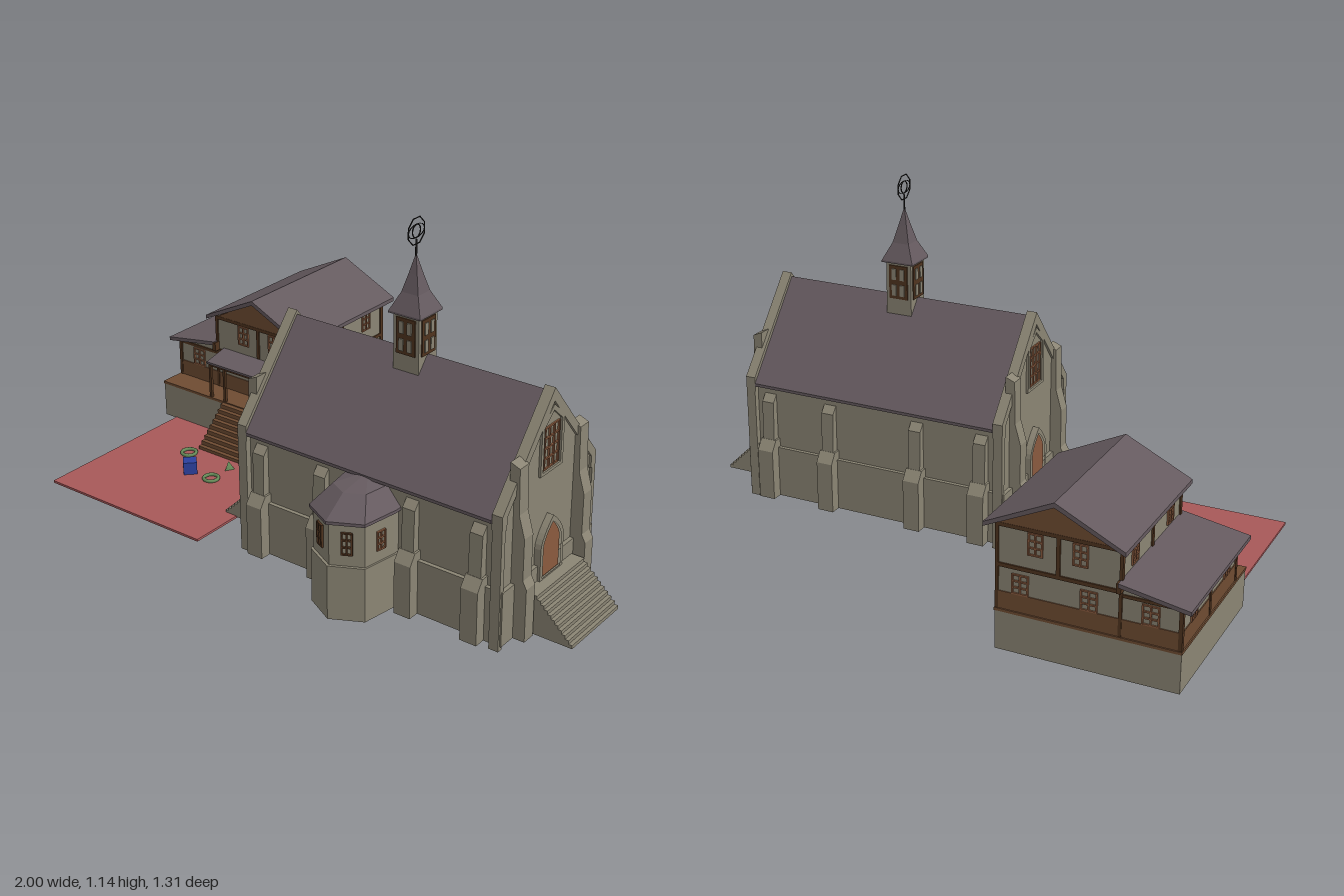
import * as THREE from 'three';

const mat = (name, color) => Object.assign(new THREE.MeshStandardMaterial({ color }), { name });
const M = {
  stone: mat('stone', 0x8b8574), roof: mat('slate', 0x655a5f), board: mat('boards', 0x6f4c32),
  timber: mat('darkTimber', 0x50341f), door: mat('doorWood', 0x8a5a3e), carpet: mat('redPaving', 0xa85859),
  blue: mat('blue', 0x2b409e), green: mat('green', 0x668a58), iron: mat('iron', 0x1d1c1c),
};

function add(parent, name, geo, material) {
  const m = new THREE.Mesh(geo, material);
  m.name = name;
  parent.add(m);
  return m;
}
function group(parent, name) {
  const g = new THREE.Group();
  g.name = name;
  parent.add(g);
  return g;
}
function box(p, name, m, x0, x1, y0, y1, z0, z1) {
  const b = add(p, name, new THREE.BoxGeometry(Math.abs(x1 - x0), y1 - y0, z1 - z0), m);
  b.position.set((x0 + x1) / 2, (y0 + y1) / 2, (z0 + z1) / 2);
  return b;
}
// Prisms: a flat outline pulled along one axis
function extrude(pts, depth, hole) {
  const toVec = a => a.map(q => new THREE.Vector2(q[0], q[1]));
  const s = new THREE.Shape(toVec(pts));
  if (hole) s.holes.push(new THREE.Path(toVec(hole)));
  return new THREE.ExtrudeGeometry(s, { depth, bevelEnabled: false });
}
const prismZ = (p, name, m, xy, z0, z1) => add(p, name, extrude(xy, z1 - z0).translate(0, 0, z0), m);
function prismX(p, name, m, zy, xa, xb, hole) {
  const flip = a => a && a.map(([z, y]) => [-z, y]);
  const g = extrude(flip(zy), Math.abs(xb - xa), flip(hole));
  return add(p, name, g.rotateY(Math.PI / 2).translate(Math.min(xa, xb), 0, 0), m);
}
const prismY = (p, name, m, xz, y0, y1) =>
  add(p, name, extrude(xz.map(([x, z]) => [x, -z]), y1 - y0).rotateX(-Math.PI / 2).translate(0, y0, 0), m);

// Window: lattice of bars, facing +z before turning
function lattice(p, m, x, y, z, turn, w, h, cols, rows, t = 0.005) {
  const g = group(p, 'window');
  g.position.set(x, y, z);
  g.rotation.y = turn;
  for (let i = 0; i <= cols; i++) {
    const u = -w / 2 + (w * i) / cols;
    box(g, 'windowBar', m, u - t / 2, u + t / 2, -h / 2, h / 2, -0.002, 0.006);
  }
  for (let j = 0; j <= rows; j++) {
    const v = -h / 2 + (h * j) / rows;
    box(g, 'windowBar', m, -w / 2 - t / 2, w / 2 + t / 2, v - t / 2, v + t / 2, -0.002, 0.005);
  }
}

const CX = 0.343, CZ = 0.22, G = 0.015;

// Pointed arch outline in z, y
function arch(w, y0, spring, top) {
  const right = [[w, y0]];
  for (let i = 0; i < 6; i++) {
    const t = i / 6;
    right.push([w * (1 - t ** 1.7), spring + (top - spring) * t]);
  }
  const left = right.map(([z, y]) => [-z, y]).reverse();
  return [...right, [0, top], ...left].map(([z, y]) => [z + CZ, y]);
}

function buildChurch(root) {
  const c = group(root, 'church');
  box(c, 'naveWalls', M.stone, -0.12, 0.8, G, 0.425, -0.015, 0.455);
  box(c, 'navePlinth', M.stone, -0.145, 0.831, G, 0.195, -0.028, 0.468);
  prismX(c, 'naveRoof', M.roof, [[-0.037, 0.41], [-0.037, 0.42], [CZ, 0.728], [0.477, 0.42], [0.477, 0.41]], -0.105, 0.79);

  // Side buttresses, stepped
  for (const x of [-0.058, 0.178, 0.508, 0.742])
    for (const s of [-1, 1]) {
      const at = a => a.map(([d, y]) => [CZ + s * d, y]);
      prismX(c, 'buttressBase', M.stone, at([[0.22, G], [0.286, G], [0.286, 0.19], [0.262, 0.225], [0.22, 0.225]]), x - 0.029, x + 0.029);
      prismX(c, 'buttressTop', M.stone, at([[0.22, 0.2], [0.262, 0.2], [0.256, 0.36], [0.235, 0.385], [0.22, 0.385]]), x - 0.022, x + 0.022);
    }

  // Both gable ends
  for (const s of [-1, 1]) {
    const e = group(c, 'gableEnd');
    const X = d => CX + s * d;
    const gable = [[-0.035, G], [-0.035, 0.44], [CZ, 0.74], [0.475, 0.44], [0.475, G]];
    prismX(e, 'gableWall', M.stone, gable, X(0.45), X(0.475));
    prismX(e, 'gableCoping', M.stone,
      [[-0.035, 0.39], [-0.035, 0.44], [CZ, 0.742], [0.475, 0.44], [0.475, 0.39], [0.45, 0.39], [0.45, 0.43], [CZ, 0.7], [-0.01, 0.43], [-0.01, 0.39]], X(0.448), X(0.483));
    for (const z of [-0.035, 0.457]) box(e, 'cornerFoot', M.stone, X(0.45), X(0.483), 0, 0.39, z, z + 0.018);
    for (const z of [0.035, 0.361])
      prismZ(e, 'gableButtress', M.stone,
        [[0.46, G], [0.528, G], [0.528, 0.19], [0.515, 0.215], [0.515, 0.35], [0.495, 0.42], [0.492, 0.565], [0.46, 0.578]].map(([d, y]) => [X(d), y]), z, z + 0.046);
    // Door and its surround
    prismX(e, 'doorSurround', M.stone, arch(0.063, 0.145, 0.25, 0.34), X(0.47), X(0.497), arch(0.049, 0.15, 0.25, 0.32));
    prismX(e, 'door', M.door, arch(0.049, 0.15, 0.25, 0.32), X(0.483), X(0.491));
    // Gable window
    prismX(e, 'windowSurround', M.stone, [[0.16, 0.48], [0.16, 0.64], [CZ, 0.69], [0.28, 0.64], [0.28, 0.48]], X(0.47), X(0.483),
      [[0.172, 0.49], [0.172, 0.63], [CZ, 0.672], [0.268, 0.63], [0.268, 0.49]]);
    lattice(e, M.door, X(0.475), 0.56, CZ, s * Math.PI / 2, 0.075, 0.13, 3, 4, 0.005);
    // Stone stairs
    const n = 11;
    for (let i = 0; i < n; i++)
      box(e, 'stoneStep', M.stone, X(0.475), X(0.655 - (0.135 * i) / n), G + (0.13 * i) / n, G + (0.13 * (i + 1)) / n, 0.088, 0.353);
  }

  // Apse
  const plan = [[0.225, 0.44], [0.225, 0.475], [0.245, 0.595], [CX, 0.645], [0.441, 0.595], [0.461, 0.475], [0.461, 0.44]];
  const scaled = (k, a = plan) => a.map(([x, z]) => [CX + (x - CX) * k, 0.45 + (z - 0.45) * k]);
  prismY(c, 'apsePlinth', M.stone, scaled(1.02), G, 0.195);
  prismY(c, 'apseWalls', M.stone, scaled(0.97), 0.19, 0.342);
  prismY(c, 'apseEaves', M.roof, scaled(1.04), 0.334, 0.344);
  const rings = [[1.04, 0.344], [0.62, 0.402], [0.001, 0.42]].map(([k, y]) => scaled(k).map(([x, z]) => [x, y, z]));
  const pos = [];
  for (let r = 0; r < 2; r++)
    for (let i = 0; i < plan.length - 1; i++) {
      const [a, b, d, f] = [rings[r][i], rings[r][i + 1], rings[r + 1][i + 1], rings[r + 1][i]];
      pos.push(...a, ...b, ...d, ...a, ...d, ...f);
    }
  const roofGeo = new THREE.BufferGeometry();
  roofGeo.setAttribute('position', new THREE.Float32BufferAttribute(pos, 3));
  roofGeo.computeVertexNormals();
  add(c, 'apseRoof', roofGeo, M.roof);
  for (const s of [-1, 1]) {
    lattice(c, M.timber, CX + s * 0.048, 0.27, 0.616, s * 0.47, 0.03, 0.07, 2, 3, 0.005);
    lattice(c, M.door, CX + s * 0.106, 0.265, 0.53, s * 1.405, 0.03, 0.06, 2, 3, 0.004);
  }

  // Bell turret, spire and finial
  const t = group(c, 'bellTurret');
  t.position.set(CX, 0, CZ);
  box(t, 'turretBody', M.stone, -0.046, 0.046, 0.665, 0.86, -0.046, 0.046);
  for (let i = 0; i < 4; i++) {
    const f = group(t, 'louvre');
    f.rotation.y = (i * Math.PI) / 2;
    box(f, 'louvreFrame', M.timber, -0.034, 0.034, 0.728, 0.843, 0.044, 0.05);
    for (const x of [-0.015, 0.015])
      for (const y of [0.758, 0.813]) box(f, 'louvrePanel', M.stone, x - 0.008, x + 0.008, y - 0.019, y + 0.019, 0.046, 0.053);
  }
  const prof = [[0, 0.852], [0.057, 0.852], [0.057, 0.858], [0.03, 0.915], [0.015, 0.972], [0.001, 1.03]];
  const spire = new THREE.LatheGeometry(prof.map(([r, y]) => new THREE.Vector2(r * Math.SQRT2, y)), 4, Math.PI / 4).toNonIndexed();
  spire.computeVertexNormals();
  add(t, 'spire', spire, M.roof);
  add(t, 'finialRod', new THREE.CylinderGeometry(0.003, 0.003, 0.07, 6).translate(0, 1.04, 0), M.iron);
  for (const [r, n, squash] of [[0.043, 8, 1], [0.02, 16, 1], [0.04, 16, 0.52]]) {
    const ring = add(t, 'finialRing', new THREE.TorusGeometry(r, 0.002, 5, n).rotateZ(Math.PI / 8), M.iron);
    ring.position.y = 1.1;
    ring.rotation.y = Math.PI / 2;
    ring.scale.y = squash;
  }
}

function buildHouse(root) {
  const h = group(root, 'house');
  box(h, 'foundation', M.stone, -0.97, -0.4, G, 0.142, -0.627, -0.067);
  box(h, 'porchDeck', M.board, -0.972, -0.398, 0.14, 0.149, -0.629, -0.065);

  // Main block and side wing
  box(h, 'mainWalls', M.stone, -0.785, -0.405, 0.145, 0.425, -0.622, -0.158);
  prismZ(h, 'gableBoards', M.board, [[-0.785, 0.42], [-0.595, 0.52], [-0.405, 0.42]], -0.626, -0.154);
  prismZ(h, 'mainRoof', M.roof, [[-0.808, 0.43], [-0.593, 0.535], [-0.374, 0.43], [-0.374, 0.416], [-0.593, 0.519], [-0.808, 0.416]], -0.657, -0.125);
  prismZ(h, 'wingWalls', M.stone, [[-0.965, 0.145], [-0.965, 0.285], [-0.785, 0.316], [-0.785, 0.145]], -0.622, -0.158);
  prismZ(h, 'wingRoof', M.roof, [[-1, 0.292], [-0.785, 0.328], [-0.785, 0.315], [-1, 0.279]], -0.65, -0.135);
  box(h, 'roofBeam', M.timber, -0.792, -0.778, 0.293, 0.325, -0.645, -0.135);

  // Board dado and timber frame
  box(h, 'boardDado', M.board, -0.968, -0.402, 0.147, 0.205, -0.625, -0.155);
  for (const [y0, y1] of [[0.284, 0.296], [0.412, 0.424]]) box(h, 'timberBand', M.timber, -0.789, -0.401, y0, y1, -0.627, -0.153);
  box(h, 'wingBand', M.timber, -0.968, -0.785, 0.274, 0.284, -0.626, -0.154);
  for (const z of [-0.62, -0.39, -0.16]) {
    box(h, 'timberPost', M.timber, -0.41, -0.4, 0.147, 0.424, z - 0.007, z + 0.007);
    box(h, 'timberPost', M.timber, -0.79, -0.78, 0.147, 0.424, z - 0.007, z + 0.007);
    box(h, 'wingPost', M.timber, -0.97, -0.958, 0.147, 0.284, z - 0.007, z + 0.007);
  }
  for (const [z, x] of [[-0.157, -0.595], [-0.624, -0.595]]) box(h, 'middlePost', M.timber, x - 0.006, x + 0.006, 0.29, 0.424, z - 0.003, z + 0.003);

  // Windows on every side
  for (const z of [-0.248, -0.528]) {
    for (const y of [0.235, 0.373]) lattice(h, M.door, -0.405, y, z, Math.PI / 2, 0.042, 0.066, 2, 3);
    lattice(h, M.door, -0.785, 0.373, z, -Math.PI / 2, 0.042, 0.066, 2, 3);
    lattice(h, M.door, -0.965, 0.237, z, -Math.PI / 2, 0.042, 0.06, 2, 3);
  }
  for (const [z, turn] of [[-0.158, 0], [-0.622, Math.PI]]) {
    for (const x of [-0.662, -0.524]) lattice(h, M.door, x, 0.374, z, turn, 0.042, 0.066, 2, 3);
    for (const x of [-0.875, -0.478]) lattice(h, M.door, x, 0.237, z, turn, 0.048, 0.06, 2, 3);
  }
  lattice(h, M.door, -0.69, 0.237, -0.622, Math.PI, 0.048, 0.06, 2, 3);
  box(h, 'doorFrame', M.timber, -0.636, -0.554, 0.149, 0.277, -0.157, -0.149);
  box(h, 'houseDoor', M.board, -0.629, -0.561, 0.149, 0.27, -0.152, -0.146);

  // Porch
  prismX(h, 'porchRoof', M.roof, [[-0.155, 0.306], [-0.062, 0.286], [-0.062, 0.278], [-0.155, 0.297]], -0.755, -0.425);
  box(h, 'porchBeam', M.timber, -0.75, -0.43, 0.27, 0.28, -0.075, -0.067);
  for (const x of [-0.745, -0.68, -0.505, -0.435]) box(h, 'porchPost', M.timber, x - 0.005, x + 0.005, 0.147, 0.275, -0.076, -0.066);

  // Wooden stairs
  box(h, 'stairFooting', M.stone, -0.685, -0.5, 0, G, -0.16, 0.078);
  const n = 9;
  for (let i = 0; i < n; i++)
    box(h, 'woodenStep', M.board, -0.685, -0.5, G + (0.13 * i) / n, G + (0.13 * (i + 1)) / n, -0.067, 0.072 - (0.135 * i) / n);
}

function buildYard(root) {
  const y = group(root, 'courtyard');
  box(y, 'paving', M.carpet, -0.92, -0.267, 0.01, 0.018, -0.11, 0.542);
  box(y, 'blueBlock', M.blue, -0.023, 0.023, 0.018, 0.062, -0.023, 0.023).rotation.y = Math.PI / 4;
  y.children[1].position.set(-0.595, 0.04, 0.215);
  for (const [x, z] of [[-0.687, 0.12], [-0.5, 0.215]])
    add(y, 'greenRing', new THREE.TorusGeometry(0.025, 0.006, 8, 20).rotateX(Math.PI / 2).translate(x, 0.024, z), M.green);
  add(y, 'greenPyramid', new THREE.ConeGeometry(0.02, 0.03, 3).translate(-0.502, 0.033, 0.122), M.green);
}

export function createModel() {
  const root = new THREE.Group();
  root.name = 'churchAndHouse';
  buildChurch(root);
  buildHouse(root);
  buildYard(root);
  return root;
}
